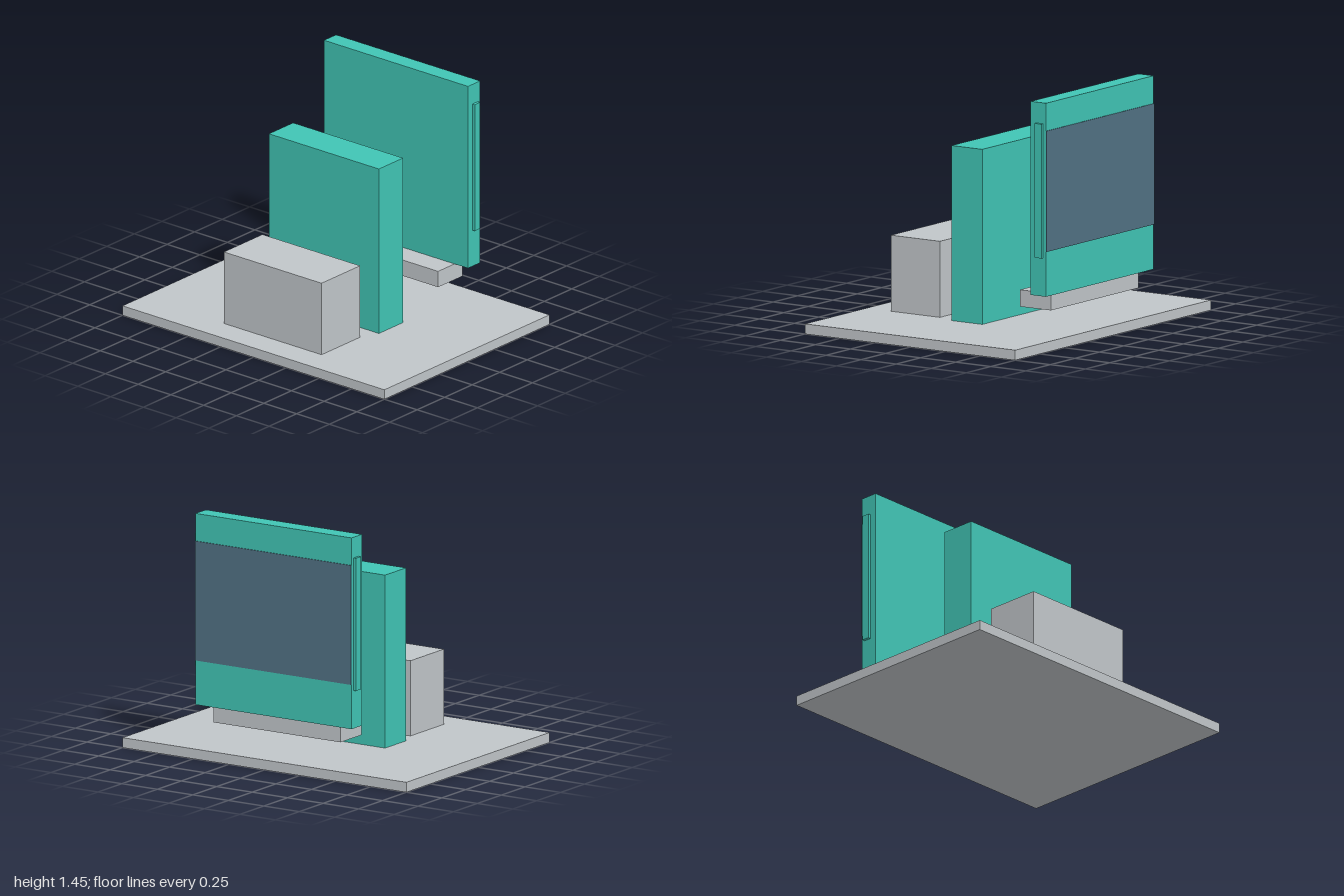
import * as THREE from 'three';

export function createModel() {
  const model = new THREE.Group();
  const material = (name, color) => {
    const m = new THREE.MeshStandardMaterial({ color });
    m.name = name;
    return m;
  };
  const grey = material('lightGrey', 0xc0c5c9);
  const teal = material('teal', 0x40c4b4);
  const slate = material('slateBlue', 0x507183);

  // Box given by its lower and upper limits on each axis
  const box = (name, mat, [x0, x1], [y0, y1], [z0, z1]) => {
    const mesh = new THREE.Mesh(new THREE.BoxGeometry(x1 - x0, y1 - y0, z1 - z0), mat);
    mesh.position.set((x0 + x1) / 2, (y0 + y1) / 2, (z0 + z1) / 2);
    mesh.name = name;
    model.add(mesh);
  };

  // Floor plate and the solids standing on it
  box('basePlate', grey, [-1, 1], [0, 0.06], [-0.75, 0.75]);
  box('frontBlock', grey, [-0.373, 0.373], [0.05, 0.512], [0.225, 0.575]);
  box('middleSlab', teal, [-0.42, 0.42], [0.05, 1.1], [-0.11, 0.11]);

  // Raised rear panel with the ledge below it
  box('ledge', grey, [-0.447, 0.447], [0.2, 0.3], [-0.618, -0.396]);
  box('rearPanel', teal, [-0.55, 0.55], [0.3, 1.45], [-0.655, -0.545]);
  box('rearScreen', slate, [-0.55, 0.55], [0.567, 1.285], [-0.66, -0.655]);

  // Side rails of the rear panel
  for (const s of [-1, 1]) {
    const xs = s > 0 ? [0.55, 0.568] : [-0.568, -0.55];
    box(s > 0 ? 'leftRail' : 'rightRail', teal, xs, [0.528, 1.326], [-0.634, -0.585]);
  }
  return model;
}
